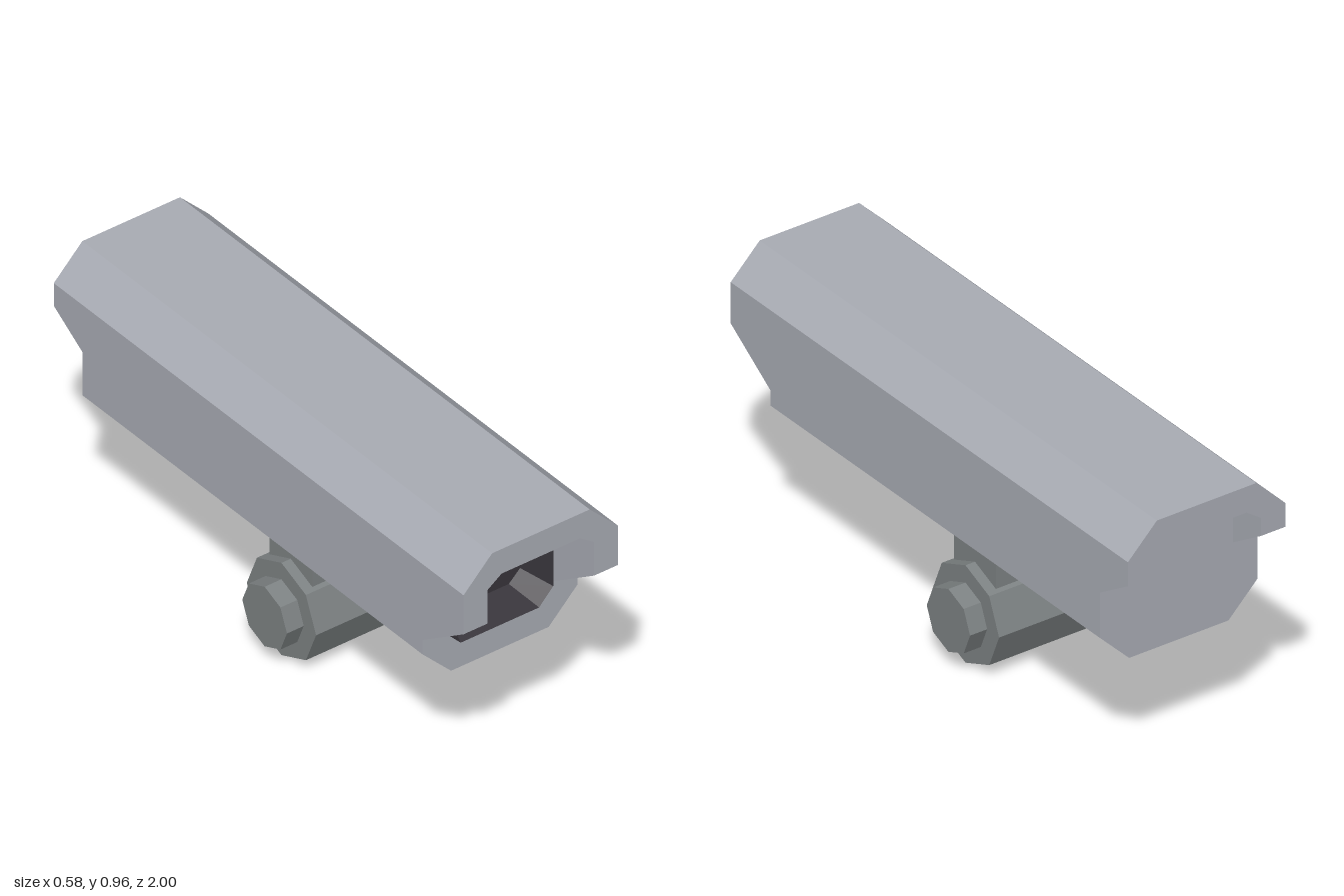
import * as THREE from 'three';

const mat = (name, color) => {
  const m = new THREE.MeshStandardMaterial({ color });
  m.name = name;
  return m;
};

// Chamfered rectangle, counter-clockwise from the lower right side
const octagon = (w, wTop, y0, y1, y2, y3) => [
  [w, y1], [w, y2], [wTop, y3], [-wTop, y3],
  [-w, y2], [-w, y1], [-wTop, y0], [wTop, y0],
].map(([x, y]) => new THREE.Vector2(x, y));

const OUTER = octagon(0.29, 0.183, 0.42, 0.527, 0.858, 0.965);
const OPENING = octagon(0.2, 0.147, 0.507, 0.562, 0.838, 0.875);
const LENS = octagon(0.16, 0.118, 0.543, 0.583, 0.797, 0.838);

const FRONT = 0.8, BACK = -0.86, LENS_Z = 0.69;

const extrude = (shape, z0, z1) =>
  new THREE.ExtrudeGeometry(shape, { depth: z1 - z0, bevelEnabled: false }).translate(0, 0, z0);

// Arch-shaped hood whose lower edge rises from yRoot at the body to yTip at the end
function hoodGeometry(zRoot, zTip, yRoot, yTip) {
  const at = (p, y) => new THREE.Vector2(p.x, y);
  const shape = new THREE.Shape([
    at(OUTER[0], yRoot), ...OUTER.slice(1, 5), at(OUTER[5], yRoot),
    at(OPENING[5], yRoot), ...OPENING.slice(1, 5).reverse(), at(OPENING[0], yRoot),
  ]);
  const g = extrude(shape, Math.min(zRoot, zTip), Math.max(zRoot, zTip));
  const p = g.attributes.position;
  for (let i = 0; i < p.count; i++) {
    if (Math.abs(p.getY(i) - yRoot) < 1e-4 && Math.abs(p.getZ(i) - zTip) < 1e-4) p.setY(i, yTip);
  }
  g.computeVertexNormals();
  return g;
}

// Tapered recess walls between the opening and the lens
function recessGeometry() {
  const v = [];
  for (let i = 0; i < 8; i++) {
    const j = (i + 1) % 8;
    const a = [OPENING[i].x, OPENING[i].y, FRONT], b = [OPENING[j].x, OPENING[j].y, FRONT];
    const c = [LENS[i].x, LENS[i].y, LENS_Z], d = [LENS[j].x, LENS[j].y, LENS_Z];
    v.push(...a, ...b, ...c, ...b, ...d, ...c);
  }
  const g = new THREE.BufferGeometry();
  g.setAttribute('position', new THREE.Float32BufferAttribute(v, 3));
  g.computeVertexNormals();
  return g;
}

// Eight-sided drum lying along x
function drumGeometry(radius, length) {
  const g = new THREE.CylinderGeometry(radius, radius, length, 8).rotateZ(Math.PI / 2).toNonIndexed();
  g.computeVertexNormals();
  return g;
}

export function createModel() {
  const group = new THREE.Group();
  group.name = 'securityCamera';
  const casing = mat('casing grey', 0xa8abb3);
  const mount = mat('mount grey', 0x7c8182);
  const dark = mat('lens black', 0x37343a);

  const add = (name, geometry, material, x = 0, y = 0, z = 0) => {
    const mesh = new THREE.Mesh(geometry, material);
    mesh.name = name;
    mesh.position.set(x, y, z);
    group.add(mesh);
  };

  // Casing
  const shell = new THREE.Shape(OUTER);
  shell.holes.push(new THREE.Path(OPENING));
  add('casingShell', extrude(shell, BACK, FRONT), casing);
  add('backPlate', new THREE.ShapeGeometry(new THREE.Shape(OPENING)).rotateY(Math.PI), casing, 0, 0, BACK);
  add('frontHood', hoodGeometry(FRONT, 1, 0.58, 0.715), casing);
  add('backHood', hoodGeometry(BACK, -1, 0.685, 0.775), casing);

  // Lens recess
  add('lensRecess', recessGeometry(), dark);
  add('lens', new THREE.ShapeGeometry(new THREE.Shape(LENS)), dark, 0, 0, LENS_Z);

  // Swivel mount
  add('neck', new THREE.BoxGeometry(0.29, 0.13, 0.21), mount, 0, 0.358, -0.032);
  add('swivelDrum', drumGeometry(0.169, 0.36), mount, 0, 0.169, -0.032);
  for (const s of [1, -1]) {
    add(s > 0 ? 'leftCap' : 'rightCap', drumGeometry(0.109, 0.063), mount, s * 0.2115, 0.169, -0.032);
  }
  return group;
}
